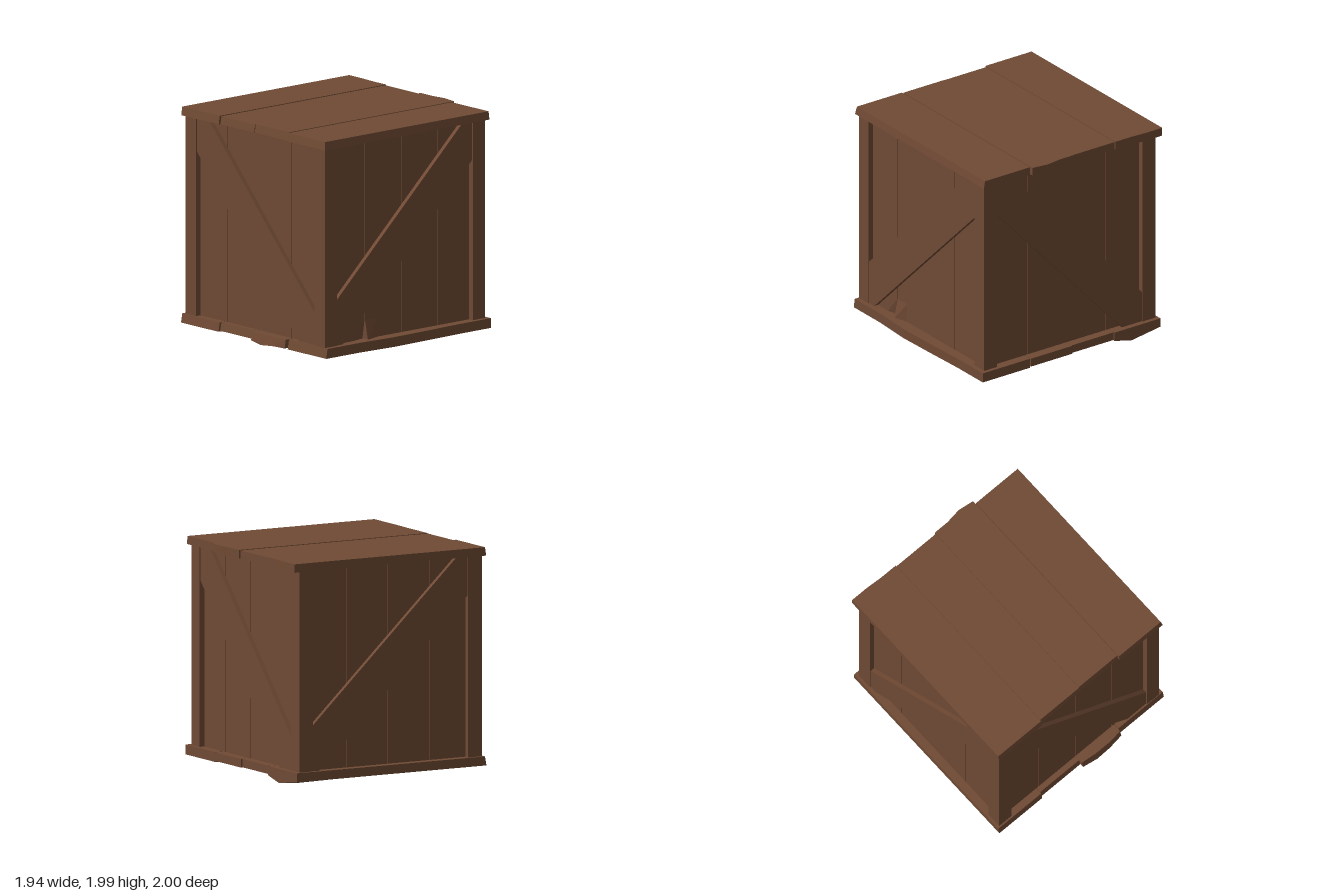
import * as THREE from 'three';

const wood = new THREE.MeshStandardMaterial({ color: 0x704a34, flatShading: true });
wood.name = 'brown wood';

// Box spanning two corners, with optional subdivision and a vertex rule
function plank(name, a, b, segs = [1, 1, 1], rule) {
  const geo = new THREE.BoxGeometry(b[0] - a[0], b[1] - a[1], b[2] - a[2], ...segs);
  geo.translate((a[0] + b[0]) / 2, (a[1] + b[1]) / 2, (a[2] + b[2]) / 2);
  if (rule) {
    const p = geo.attributes.position, v = new THREE.Vector3();
    for (let i = 0; i < p.count; i++) {
      v.fromBufferAttribute(p, i);
      rule(v);
      p.setXYZ(i, v.x, v.y, v.z);
    }
    geo.computeVertexNormals();
  }
  const mesh = new THREE.Mesh(geo, wood);
  mesh.name = name;
  return mesh;
}

const LOW = 0.14, HIGH = 1.91;     // wall bottom and top
const HX = 0.925, HZ = 0.925;      // half width and depth over the posts
const INSET = 0.05, POST = 0.14;

// One wall facing +z: four upright boards and a diagonal brace
function wall(name, bracePoints, dented) {
  const g = new THREE.Group();
  g.name = name;
  const edges = [-0.86, -0.423, 0, 0.423, 0.86];
  const zo = HZ - INSET;
  for (let i = 0; i < 4; i++) {
    const gap = i === 1 || i === 3 ? 0.005 : 0.001;
    const rule = dented && i < 2 ? (v) => {
      // splintered lower end beside the first seam
      if (v.y > 0.2) return;
      if (i === 1 && v.x < -0.3 && v.z > zo - 0.01) v.z += 0.04;
      if (i === 0 && v.x > -0.5) v.z -= 0.03;
    } : null;
    g.add(plank('wallBoard', [edges[i] + gap, LOW - 0.01, zo - 0.05],
      [edges[i + 1] - 0.001, HIGH + 0.01, zo], [3, 10, 1], rule));
  }
  const shape = new THREE.Shape(bracePoints.map(([x, y]) => new THREE.Vector2(x, y)));
  const brace = new THREE.Mesh(
    new THREE.ExtrudeGeometry(shape, { depth: 0.04, bevelEnabled: false }), wood);
  brace.name = 'diagonalBrace';
  brace.position.z = zo;
  g.add(brace);
  return g;
}

export function createModel() {
  const crate = new THREE.Group();
  crate.name = 'crate';

  // Walls and corner posts
  const body = new THREE.Group();
  body.name = 'body';
  body.position.set(-0.02, 0, 0.005);
  const falling = [[-0.786, 1.61], [0.57, LOW], [0.786, LOW], [0.786, 0.42], [-0.62, HIGH], [-0.786, HIGH]];
  const rising = [[-0.786, LOW], [-0.71, LOW], [0.786, 1.57], [0.786, HIGH], [0.67, HIGH], [-0.786, 0.54]];
  ['frontWall', 'rightWall', 'backWall', 'leftWall'].forEach((name, i) => {
    const w = wall(name, i % 2 ? rising : falling, i === 1);
    w.rotation.y = i * Math.PI / 2;
    body.add(w);
  });
  for (const sx of [-1, 1]) for (const sz of [-1, 1]) {
    const post = plank('cornerPost', [-POST / 2, LOW - 0.01, -POST / 2], [POST / 2, HIGH + 0.01, POST / 2]);
    post.position.set(sx * (HX - POST / 2), 0, sz * (HZ - POST / 2));
    body.add(post);
  }
  crate.add(body);

  // Lid boards run front to back, with uneven ends: [x0, x1, back, front, top]
  const lid = new THREE.Group();
  lid.name = 'lid';
  [[-0.97, -0.473, -0.975, 0.945, 1.985], [-0.468, -0.02, -0.967, 0.93, 1.98],
    [-0.017, 0.426, -0.98, 0.925, 1.985], [0.434, 0.93, -0.95, 0.94, 1.982]].forEach(([x0, x1, z0, z1, top], i) => {
    lid.add(plank('lidBoard', [x0, HIGH, z0], [x1, top, z1], [3, 1, 6], (v) => {
      if (i === 2 && v.z < -0.9 && v.x > 0.2 && v.x < 0.4) v.z = -1;
      if (v.z > 0.9 && v.y < 1.95) v.z += 0.012;
      if (i === 0 && v.z < -0.9) v.z -= 0.01 * (v.x < -0.7 ? 1 : 0);
      if (i === 3 && v.x > 0.9) v.x -= v.y > 1.95 ? 0.012 : 0;
    }));
  });
  crate.add(lid);

  // Base boards, some sagging or split outward
  const base = new THREE.Group();
  base.name = 'base';
  [[-0.97, -0.473, -0.96, 0.945, 0.06], [-0.468, -0.02, -0.95, 0.93, 0.067],
    [-0.017, 0.426, -0.96, 0.965, 0.064], [0.434, 0.945, -0.955, 0.935, 0.053]].forEach(([x0, x1, z0, z1, low], i) => {
    base.add(plank('baseBoard', [x0, low, z0], [x1, LOW, z1], i === 0 ? [2, 1, 5] : [3, 1, 5], (v) => {
      const under = v.y < 0.1;
      if (i === 0 && under && Math.abs(v.x + 0.72) < 0.05 && v.z < -0.5) {
        v.x = -0.66;
        v.y = v.z < -0.9 ? 0.015 : 0;
        if (v.z > -0.9) v.z = -0.75;
      }
      if (i === 2 && v.z > 0.9) {
        if (under && v.x > 0.1 && v.x < 0.2) v.y = 0.048;
        if (v.x > 0.1 && v.x < 0.3) v.z = under ? 1 : 0.98;
        else if (under) v.z += 0.015;
      }
      if (i !== 2 && under && v.z > 0.9) v.z += 0.015;
      if (i === 3 && v.x > 0.9 && v.z > -0.4 && v.z < 0.4) v.x = v.z > 0 ? 0.968 : 0.958;
    }));
  });
  crate.add(base);
  return crate;
}
